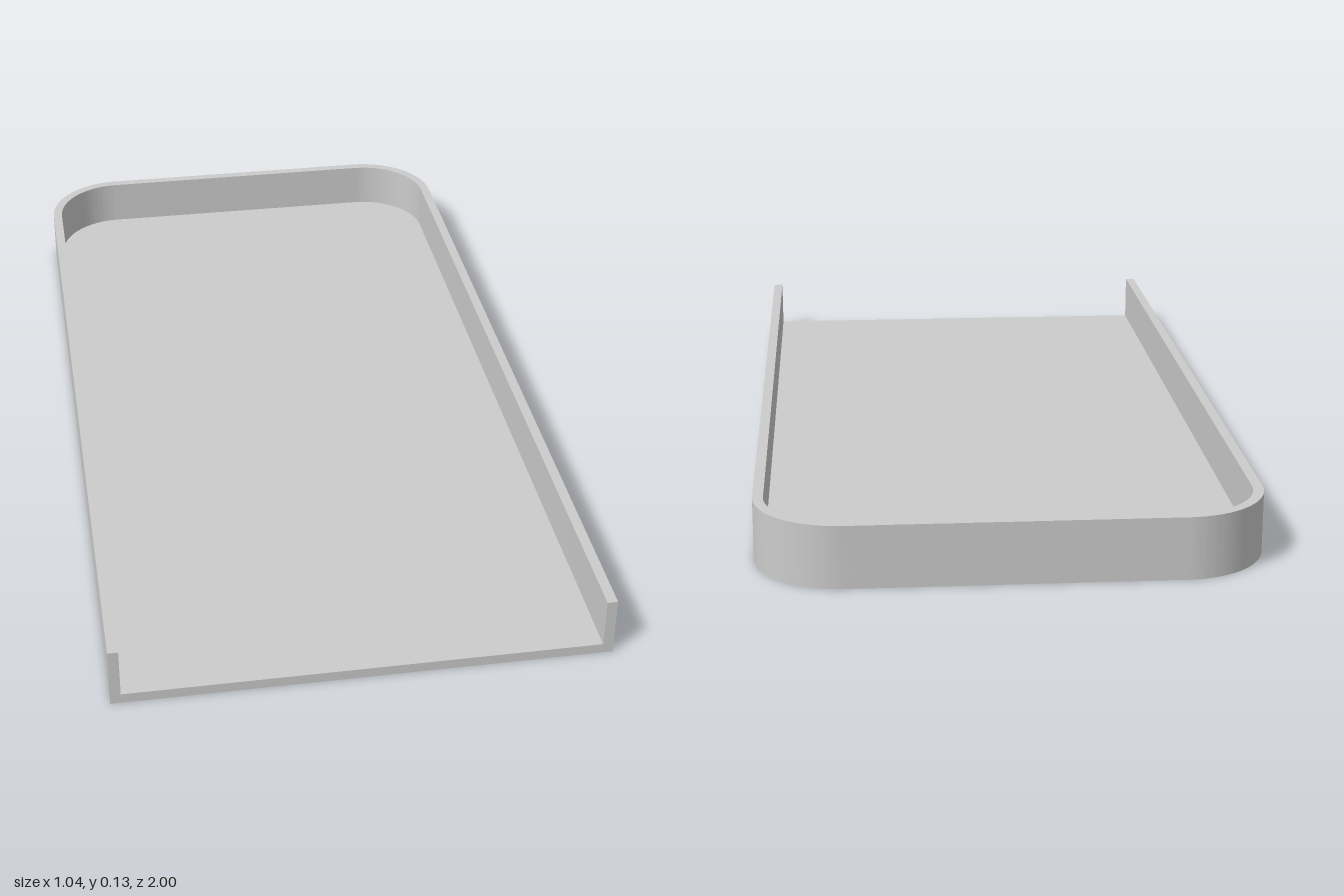
import * as THREE from 'three';
import { toCreasedNormals } from 'three/addons/utils/BufferGeometryUtils.js';

const HALF_WIDTH = 0.519, HALF_LENGTH = 1, HEIGHT = 0.131, THICKNESS = 0.022, RADIUS = 0.18;

// U-shaped outline, open at the front, inset from the outer edge; shape +y is the back
function outline(inset) {
  const w = HALF_WIDTH - inset, back = HALF_LENGTH - inset, r = RADIUS - inset;
  const path = new THREE.Path();
  path.moveTo(w, -HALF_LENGTH);
  path.lineTo(w, back - r);
  path.absarc(w - r, back - r, r, 0, Math.PI / 2);
  path.lineTo(-w + r, back);
  path.absarc(-w + r, back - r, r, Math.PI / 2, Math.PI);
  path.lineTo(-w, -HALF_LENGTH);
  return path.getPoints(20);
}

// Extrude a plan outline upward from a base height
function slab(name, points, base, depth, material) {
  const extruded = new THREE.ExtrudeGeometry(new THREE.Shape(points), { depth, bevelEnabled: false });
  extruded.rotateX(-Math.PI / 2).translate(0, base, 0);
  const mesh = new THREE.Mesh(toCreasedNormals(extruded, Math.PI / 6), material);
  mesh.name = name;
  return mesh;
}

export function createModel() {
  const group = new THREE.Group();
  group.name = 'openEndedTray';
  const material = new THREE.MeshStandardMaterial({ color: 0xcccccc });

  // Flat floor with two rounded back corners
  group.add(slab('floor', outline(0), 0, THICKNESS, material));

  // Continuous rim around both sides and the back
  const rim = [...outline(0), ...outline(THICKNESS).reverse()];
  group.add(slab('rimWall', rim, THICKNESS, HEIGHT - THICKNESS, material));

  return group;
}
